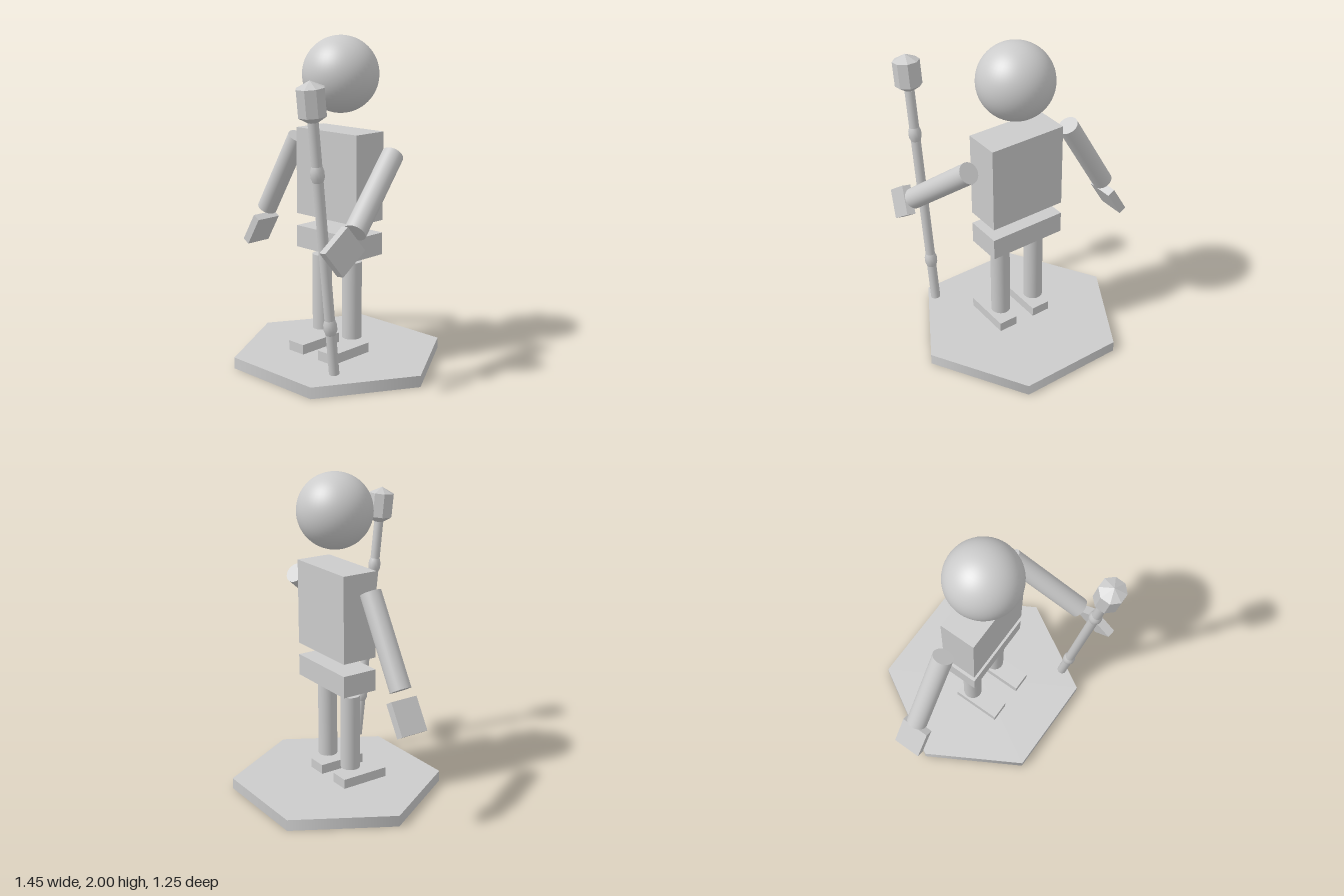
import * as THREE from 'three';

const material = new THREE.MeshStandardMaterial({ color: 0xcccccc });
const flatMaterial = new THREE.MeshStandardMaterial({ color: 0xcccccc, flatShading: true });

export function createModel() {
  const root = new THREE.Group();
  root.name = 'figureWithStaff';

  function add(name, geometry, x, y, z, parent = root, mat = material) {
    const mesh = new THREE.Mesh(geometry, mat);
    mesh.name = name;
    mesh.position.set(x, y, z);
    parent.add(mesh);
    return mesh;
  }
  const box = (w, h, d) => new THREE.BoxGeometry(w, h, d);

  // Cylinder running between two points
  function limb(name, from, to, radius) {
    const a = new THREE.Vector3(...from);
    const b = new THREE.Vector3(...to);
    const mid = a.clone().add(b).multiplyScalar(0.5);
    const axis = a.clone().sub(b);
    const geometry = new THREE.CylinderGeometry(radius, radius, axis.length(), 32);
    const mesh = add(name, geometry, mid.x, mid.y, mid.z);
    mesh.quaternion.setFromUnitVectors(new THREE.Vector3(0, 1, 0), axis.normalize());
  }

  // Hexagonal base with corners on the x axis
  const base = add('base', new THREE.CylinderGeometry(0.66, 0.66, 0.07, 6), 0.067, 0.035, -0.058);
  base.rotation.y = Math.PI / 2;

  // Body
  add('head', new THREE.SphereGeometry(0.228, 48, 32), 0.077, 1.772, -0.057);
  add('torso', box(0.497, 0.533, 0.23), 0.069, 1.178, -0.055);
  add('hips', box(0.497, 0.135, 0.23), 0.069, 0.767, -0.055);

  // Legs and feet
  for (const [side, x] of [['right', -0.063], ['left', 0.19]]) {
    limb(side + 'Leg', [x, 0.657, -0.043], [x, 0.178, -0.043], 0.06);
    add(side + 'Foot', box(0.124, 0.062, 0.315), x, 0.1, 0.028);
  }

  // Right arm hangs outward, left arm reaches to the staff
  limb('rightArm', [-0.298, 1.362, -0.066], [-0.592, 0.861, -0.066], 0.0635);
  limb('leftArm', [0.441, 1.326, -0.113], [0.557, 0.963, 0.328], 0.0645);

  const rightHand = add('rightHand', box(0.053, 0.205, 0.178), -0.652, 0.718, -0.064);
  rightHand.rotation.z = -0.54;

  const leftHand = add('leftHand', box(0.053, 0.18, 0.205), 0.574, 0.881, 0.443);
  const width = new THREE.Vector3(0.19, -0.8, -0.57).normalize();
  const thickness = width.clone().cross(new THREE.Vector3(-0.03, -0.59, 0.81)).normalize();
  const length = thickness.clone().cross(width);
  leftHand.quaternion.setFromRotationMatrix(new THREE.Matrix4().makeBasis(thickness, width, length));

  // Tilted staff, built upright from its foot
  const staff = new THREE.Group();
  staff.name = 'staff';
  staff.position.set(0.432, 0.119, 0.359);
  staff.rotation.x = 0.112;
  root.add(staff);

  const lathe = (profile, sides) =>
    new THREE.LatheGeometry(profile.map(([r, y]) => new THREE.Vector2(r, y)), sides);

  add('staffShaft', new THREE.CylinderGeometry(0.03, 0.03, 1.467, 16), 0, 0.7335, 0, staff);

  // Swollen rings along the shaft
  const ring = lathe([[0.029, -0.047], [0.039, -0.018], [0.039, 0.018], [0.029, 0.047]], 16);
  for (const [name, y] of [['lowerRing', 0.288], ['upperRing', 1.181]]) {
    add(name, ring, 0, y, 0, staff);
  }

  // Eight-sided staff head
  const knob = lathe([[0, 1.467], [0.03, 1.467], [0.082, 1.5], [0.082, 1.652], [0, 1.692]], 8);
  add('staffHead', knob, 0, 0, 0, staff, flatMaterial).rotation.y = Math.PI / 8;

  return root;
}
